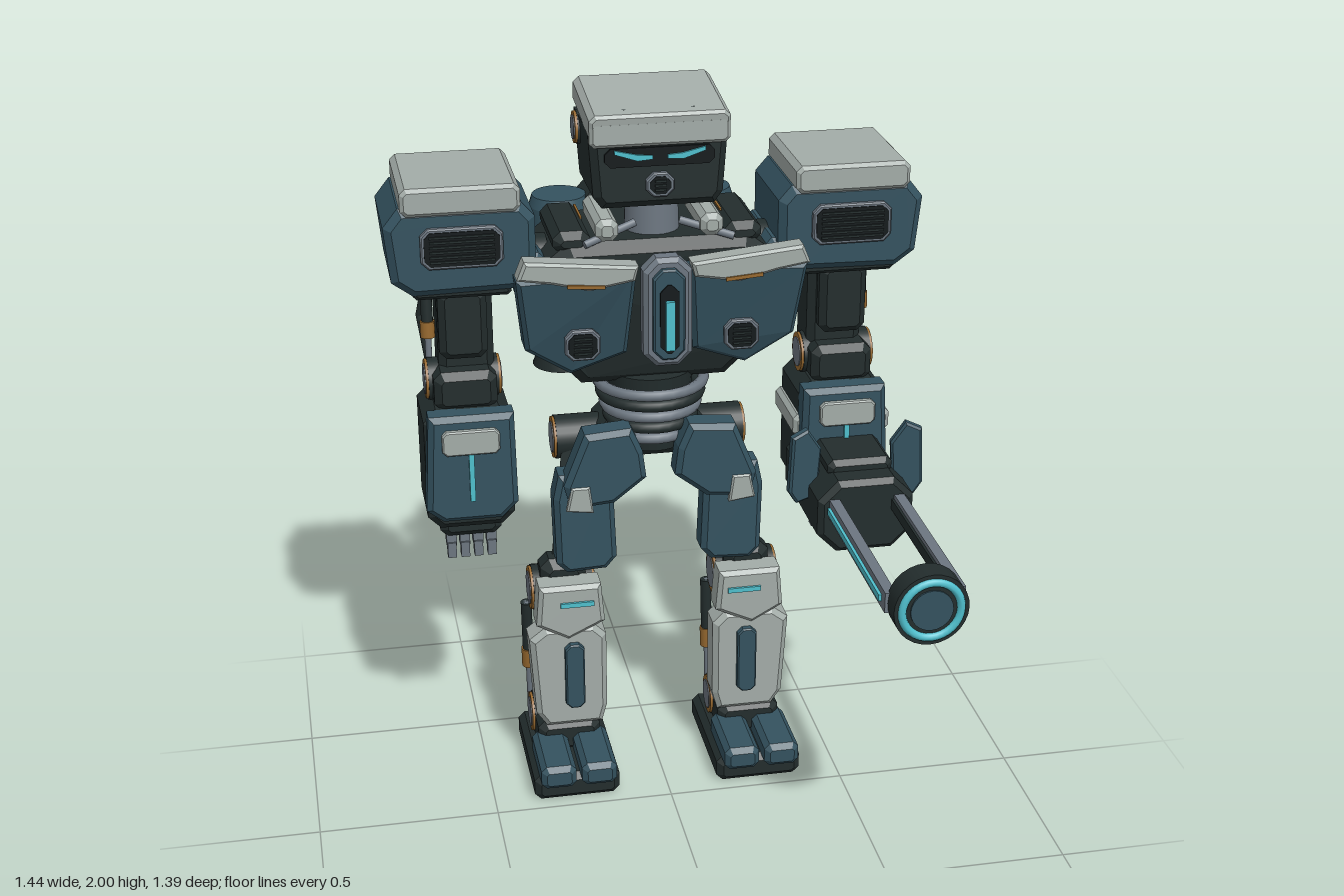
import * as THREE from 'three';

const mat = (name, color) => { const m = new THREE.MeshStandardMaterial({ color }); m.name = name; return m; };
const M = {
  blue: mat('steel blue', 0x34525f), pale: mat('pale armour', 0xa3aca8), dark: mat('dark frame', 0x232d2d),
  grey: mat('mid grey', 0x6c7680), black: mat('vent black', 0x12181a), cyan: mat('glow cyan', 0x4fbfcd),
  orange: mat('copper', 0x97692f),
};
const V = (x, y, z) => new THREE.Vector3(x, y, z);

function add(parent, name, geo, m, x = 0, y = 0, z = 0) {
  const mesh = new THREE.Mesh(geo, m);
  mesh.name = name;
  mesh.position.set(x, y, z);
  parent.add(mesh);
  return mesh;
}
// polygon in xy extruded from z0 to z1, edges bevelled by b
function prism(pts, z0, z1, b = 0.012) {
  const shape = new THREE.Shape(pts.map(p => new THREE.Vector2(p[0], p[1])));
  const g = new THREE.ExtrudeGeometry(shape, {
    depth: z1 - z0 - 2 * b, bevelEnabled: b > 0, bevelThickness: b, bevelSize: b, bevelOffset: -b, bevelSegments: 1,
  });
  return g.translate(0, 0, z0 + b);
}
// box with cut corners, centred on the origin
function cut(w, h, d, c = 0.02, b = Math.min(c, d * 0.3)) {
  const X = w / 2, Y = h / 2;
  return prism([[-X + c, -Y], [X - c, -Y], [X, -Y + c], [X, Y - c], [X - c, Y], [-X + c, Y], [-X, Y - c], [-X, -Y + c]], -d / 2, d / 2, b);
}
const box = (w, h, d) => new THREE.BoxGeometry(w, h, d);
const cyl = (r0, r1, h, n = 24) => new THREE.CylinderGeometry(r0, r1, h, n);
function span(parent, name, a, b, geoFor, m) {
  const d = b.clone().sub(a), o = add(parent, name, geoFor(d.length()), m);
  o.position.copy(a).addScaledVector(d, 0.5);
  o.quaternion.setFromUnitVectors(V(0, 1, 0), d.normalize());
  return o;
}
const rod = (p, name, a, b, r, m) => span(p, name, a, b, l => cyl(r, r, l, 12), m);
const beam = (p, name, a, b, w, d, m) => span(p, name, a, b, l => box(w, l, d), m);

// pivot with copper rim and grey cap on both ends, axis along x
function joint(p, name, x, y, z, r, w) {
  const g = new THREE.Group();
  g.name = name;
  [[r, w - 0.02, M.dark], [r * 0.95, w - 0.006, M.orange], [r * 0.72, w, M.grey]].forEach(([R, W, m]) =>
    add(g, name + 'Disc', cyl(R, R, W).rotateZ(Math.PI / 2), m));
  g.position.set(x, y, z);
  p.add(g);
}
function piston(p, a, b, t = 0.45) {
  const mid = a.clone().lerp(b, t);
  rod(p, 'pistonRod', a, b, 0.009, M.grey);
  rod(p, 'pistonSleeve', a, mid, 0.016, M.dark);
  rod(p, 'pistonCollar', mid, a.clone().lerp(b, t + 0.17), 0.02, M.orange);
}
function vent(p, x, y, z, w, h) {
  add(p, 'ventFrame', cut(w, h, 0.02, 0.02, 0.004), M.grey, x, y, z);
  add(p, 'ventOpening', cut(w - 0.018, h - 0.018, 0.008, 0.016, 0), M.black, x, y, z + 0.009);
  const n = Math.max(3, Math.round(h / 0.02));
  for (let i = 0; i < n; i++) add(p, 'ventSlat', box(w - 0.045, 0.006, 0.008), M.dark, x, y + ((i + 0.5) / n - 0.5) * (h - 0.03), z + 0.013);
}
// pulls the lower front of the chest backwards
function rake(g, yTop, k, zMin = -1) {
  const p = g.attributes.position;
  for (let i = 0; i < p.count; i++) if (p.getZ(i) > zMin) p.setZ(i, p.getZ(i) - Math.max(0, yTop - p.getY(i)) * k);
  g.computeVertexNormals();
  return g;
}

function head(root) {
  const g = new THREE.Group(); g.name = 'head'; root.add(g);
  add(g, 'skull', prism([[-0.15, 1.71], [0.15, 1.71], [0.172, 1.74], [0.185, 1.92], [-0.185, 1.92], [-0.172, 1.74]], -0.43, -0.16, 0.02), M.dark);
  add(g, 'helmet', cut(0.37, 0.075, 0.285, 0.015, 0.008), M.pale, 0, 1.947, -0.285).rotation.x = 0.13;
  add(g, 'brow', cut(0.37, 0.07, 0.03, 0.012), M.pale, 0, 1.915, -0.157);
  add(g, 'visor', cut(0.29, 0.05, 0.01, 0.015, 0), M.black, 0, 1.85, -0.157);
  for (const s of [-1, 1]) {
    add(g, 'eye', prism([[s * 0.02, 1.845], [s * 0.06, 1.842], [s * 0.12, 1.862], [s * 0.12, 1.872], [s * 0.06, 1.858], [s * 0.02, 1.855]], -0.152, -0.146, 0), M.cyan);
    add(g, 'browStud', cyl(0.006, 0.006, 0.006, 8), M.dark, s * 0.09, 1.968, -0.18);
  }
  joint(g, 'earPivot', 0, 1.88, -0.36, 0.045, 0.395);
  vent(g, 0, 1.775, -0.155, 0.075, 0.065);
  add(root, 'neck', cyl(0.07, 0.075, 0.14), M.grey, 0, 1.66, -0.28);
}

function torso(root) {
  const g = new THREE.Group(); g.name = 'torso'; root.add(g);
  add(g, 'torsoFrame', rake(prism([[-0.2, 1.19], [0.2, 1.19], [0.29, 1.3], [0.33, 1.55], [0.24, 1.62], [-0.24, 1.62], [-0.33, 1.55], [-0.29, 1.3]], -0.48, -0.15, 0.03), 1.42, 0.35, -0.3), M.dark);
  for (const s of [-1, 1]) {
    const q = a => a.map(([x, y]) => [s * x, y]);
    add(g, 'chestPlate', rake(prism(q([[0.07, 1.56], [0.39, 1.55], [0.365, 1.34], [0.24, 1.25], [0.09, 1.31]]), -0.2, -0.1), 1.44, 0.4), M.blue);
    add(g, 'collarPlate', prism(q([[0.07, 1.58], [0.37, 1.61], [0.39, 1.56], [0.3, 1.545], [0.2, 1.52], [0.08, 1.54]]), -0.14, -0.075, 0.008), M.pale);
    add(g, 'collarSlot', box(0.1, 0.01, 0.006), M.orange, s * 0.21, 1.535, -0.073).rotation.z = s * 0.08;
    vent(g, s * 0.215, 1.355, -0.125, 0.095, 0.085);
    add(g, 'sidePlate', cut(0.07, 0.18, 0.28, 0.02), M.blue, s * 0.33, 1.5, -0.33);
    add(g, 'trapezius', cut(0.1, 0.06, 0.28, 0.02), M.dark, s * 0.23, 1.62, -0.31);
    add(g, 'trapeziusTrim', box(0.006, 0.006, 0.11), M.orange, s * 0.19, 1.652, -0.34);
    add(g, 'collarBlock', cut(0.06, 0.06, 0.24, 0.015), M.pale, s * 0.14, 1.655, -0.27);
    rod(g, 'collarRod', V(s * 0.06, 1.66, -0.2), V(s * 0.2, 1.62, -0.16), 0.011, M.grey);
    add(g, 'shoulderAxle', cyl(0.07, 0.07, 0.2).rotateZ(Math.PI / 2), M.dark, s * 0.38, 1.53, -0.33);
  }
  add(g, 'corePlate', cut(0.13, 0.3, 0.06, 0.035, 0.012), M.grey, 0, 1.46, -0.07);
  add(g, 'coreInset', cut(0.085, 0.25, 0.03, 0.025, 0.005), M.blue, 0, 1.46, -0.038);
  add(g, 'coreSlot', cut(0.05, 0.19, 0.008, 0.02, 0), M.black, 0, 1.45, -0.022);
  add(g, 'coreLight', box(0.024, 0.135, 0.016), M.cyan, 0, 1.435, -0.014);
  // flexible waist
  add(g, 'waistCore', cyl(0.12, 0.1, 0.22), M.dark, 0, 1.1, -0.31);
  for (let i = 0; i < 5; i++) {
    add(g, 'waistRing', new THREE.TorusGeometry(0.148 - i * 0.01, 0.016, 8, 28).rotateX(Math.PI / 2), i % 2 ? M.dark : M.grey, 0, 1.175 - i * 0.036, -0.31);
    add(g, 'spineBead', new THREE.SphereGeometry(0.015, 10, 8), M.grey, 0, 1.185 - i * 0.036, -0.455);
  }
  add(g, 'pelvis', cut(0.3, 0.12, 0.2, 0.03), M.dark, 0, 1.01, -0.35);
  // backpack and thrusters
  add(g, 'backpack', cut(0.33, 0.39, 0.17, 0.05, 0.025), M.dark, 0, 1.445, -0.615);
  add(g, 'backpackMount', box(0.2, 0.28, 0.1), M.dark, 0, 1.45, -0.5);
  const nozzle = [[0.055, 0.085], [0.06, 0.06], [0.085, 0], [0.07, 0], [0.045, 0.05], [0, 0.05]].map(p => new THREE.Vector2(...p));
  const flare = new THREE.LatheGeometry(nozzle.reverse(), 24);
  for (const s of [-1, 1]) {
    const x = s * 0.205;
    add(g, 'thruster', cyl(0.075, 0.085, 0.03), M.blue, x, 1.61, -0.59);
    add(g, 'thrusterBody', cyl(0.085, 0.085, 0.39), M.blue, x, 1.4, -0.59);
    add(g, 'thrusterBand', cyl(0.089, 0.089, 0.02), M.grey, x, 1.53, -0.59);
    add(g, 'nozzle', flare, M.dark, x, 1.12, -0.59);
    add(g, 'nozzleGlow', new THREE.TorusGeometry(0.04, 0.008, 8, 24).rotateX(Math.PI / 2), M.cyan, x, 1.16, -0.59);
    rod(g, 'thrusterStrut', V(s * 0.23, 1.58, -0.53), V(s * 0.1, 1.58, -0.43), 0.015, M.dark);
    rod(g, 'outerStrut', V(s * 0.33, 1.53, -0.645), V(s * 0.3, 1.28, -0.535), 0.016, M.dark);
    rod(g, 'strutPin', V(s * 0.24, 1.53, -0.645), V(s * 0.34, 1.53, -0.645), 0.016, M.grey);
    rod(g, 'strutPin', V(s * 0.22, 1.28, -0.535), V(s * 0.31, 1.28, -0.535), 0.016, M.dark);
  }
}

function arm(root, s) {
  const g = new THREE.Group(); g.name = s > 0 ? 'leftArm' : 'rightArm'; root.add(g);
  const x = s * 0.52;
  const pod = [[0.36, 1.74], [0.68, 1.74], [0.72, 1.69], [0.705, 1.54], [0.65, 1.5], [0.38, 1.505], [0.325, 1.56], [0.325, 1.7]];
  add(g, 'shoulderPod', prism(pod.map(([a, b]) => [s * a, b]), -0.48, -0.165, 0.02), M.blue);
  add(g, 'podUnderside', cut(0.26, 0.03, 0.28, 0.01), M.dark, x, 1.5, -0.325);
  add(g, 'shoulderCap', cut(0.31, 0.075, 0.335, 0.015, 0.01), M.pale, x, 1.762, -0.315);
  vent(g, x, 1.635, -0.16, 0.215, 0.11);
  add(g, 'upperArm', cut(0.15, 0.28, 0.14, 0.02), M.dark, x - s * 0.01, 1.37, -0.33);
  add(g, 'upperArmShell', cut(0.13, 0.2, 0.06, 0.02), M.dark, x, 1.4, -0.24);
  joint(g, 'elbow', x, 1.215, -0.31, 0.058, 0.21);
  add(g, 'elbowBlock', cut(0.17, 0.11, 0.16, 0.02), M.dark, x, 1.21, -0.28);
  piston(g, V(s * 0.605, 1.49, -0.35), V(s * 0.605, 1.22, -0.34));
  rod(g, 'elbowLink', V(s * 0.62, 1.36, -0.42), V(s * 0.6, 1.48, -0.38), 0.01, M.dark);
  rod(g, 'elbowLink', V(s * 0.62, 1.36, -0.42), V(s * 0.59, 1.14, -0.4), 0.01, M.dark);
  add(g, 'forearm', cut(0.24, 0.35, 0.24, 0.035, 0.02), M.dark, x, 0.99, -0.3);
  const plate = [[-0.11, 1.165], [0.12, 1.165], [0.125, 0.9], [0.08, 0.855], [-0.08, 0.855], [-0.125, 0.89]];
  add(g, 'forearmPlate', prism(plate.map(([a, b]) => [x - s * a, b]), -0.22, -0.14, 0.015), M.blue);
  add(g, 'forearmPatch', cut(0.155, 0.07, 0.022, 0.012, 0.004), M.pale, x, 1.095, -0.135);
  add(g, 'forearmLight', box(0.014, 0.14, 0.012), M.cyan, x, 0.99, -0.136);
  add(g, 'wrist', cut(0.17, 0.1, 0.15, 0.02), M.dark, x, 0.82, -0.29);
  for (let i = 0; i < 4; i++) {
    const fx = x + (i - 1.5) * 0.037;
    add(g, 'fingerBase', box(0.028, 0.06, 0.035), M.grey, fx, 0.77, -0.25);
    add(g, 'fingerTip', box(0.024, 0.045, 0.03), M.grey, fx, 0.728, -0.242);
  }
  if (s > 0) cannon(g, x);
}

function cannon(p, x) {
  const g = new THREE.Group(); g.name = 'cannon'; p.add(g);
  const y = 0.915;
  add(g, 'forearmBand', cut(0.275, 0.065, 0.23, 0.012), M.pale, x, 1.04, -0.3);
  add(g, 'cannonBody', cut(0.265, 0.21, 0.39, 0.055, 0.015), M.dark, x, 0.885, -0.105);
  add(g, 'cannonRear', cut(0.2, 0.12, 0.16, 0.025), M.dark, x, 0.86, -0.365);
  add(g, 'cannonTop', cut(0.18, 0.05, 0.2, 0.015), M.dark, x, 0.995, -0.08);
  add(g, 'palm', cut(0.07, 0.1, 0.1, 0.02), M.dark, x, 0.74, -0.2);
  for (const s of [-1, 1]) {
    add(g, 'rail', box(0.028, 0.055, 0.56), M.grey, x + s * 0.09, y, 0.35);
    add(g, 'railLight', box(0.01, 0.018, 0.5), M.cyan, x + s * 0.107, y, 0.35);
    add(g, 'railEdge', box(0.01, 0.03, 0.54), M.dark, x + s * 0.074, y, 0.35);
    const fin = [[0.1, 1.04], [0.14, 1.1], [0.185, 1.08], [0.192, 0.92], [0.17, 0.885], [0.11, 0.9]];
    add(g, 'cannonFin', prism(fin.map(([a, b]) => [s * a, b]), -0.015, 0.015, 0.006), M.blue, x, 0, -0.06).rotation.y = -s * 0.15;
  }
  add(g, 'muzzle', cyl(0.097, 0.097, 0.065, 28).rotateX(Math.PI / 2), M.dark, x, y, 0.652);
  add(g, 'muzzleGlow', new THREE.TorusGeometry(0.076, 0.011, 8, 32), M.cyan, x, y, 0.684);
  add(g, 'muzzleFace', cyl(0.055, 0.055, 0.006).rotateX(Math.PI / 2), M.blue, x, y, 0.686);
}

function leg(root, s) {
  const g = new THREE.Group(); g.name = s > 0 ? 'leftLeg' : 'rightLeg'; root.add(g);
  const x = s * 0.265, q = a => a.map(([u, v]) => [s * u, v]);
  joint(g, 'hip', s * 0.19, 0.99, -0.36, 0.062, 0.17);
  beam(g, 'thighFrame', V(s * 0.195, 1.0, -0.35), V(s * 0.25, 0.56, -0.305), 0.1, 0.09, M.dark);
  rod(g, 'thighStrut', V(s * 0.19, 0.98, -0.4), V(s * 0.24, 0.62, -0.36), 0.022, M.dark);
  add(g, 'thighPlate', prism(q([[0.13, 0.95], [0.28, 0.95], [0.295, 0.88], [0.29, 0.68], [0.26, 0.65], [0.15, 0.655], [0.12, 0.69]]), -0.26, -0.17, 0.015), M.blue);
  add(g, 'hipSkirt', prism(q([[0.08, 1.09], [0.21, 1.08], [0.27, 0.93], [0.25, 0.86], [0.13, 0.87], [0.04, 0.94], [0.05, 1.02]]), -0.23, -0.14, 0.015), M.blue);
  add(g, 'skirtPatch', prism(q([[0.2, 0.93], [0.25, 0.93], [0.265, 0.86], [0.19, 0.85]]), -0.16, -0.135, 0.005), M.pale);
  joint(g, 'knee', x, 0.555, -0.295, 0.066, 0.19);
  add(g, 'kneeBlock', cut(0.13, 0.13, 0.1, 0.025), M.dark, x, 0.6, -0.27);
  add(g, 'kneePlate', prism(q([[0.17, 0.62], [0.345, 0.62], [0.355, 0.5], [0.265, 0.45], [0.16, 0.5]]), -0.24, -0.15), M.pale);
  add(g, 'kneeLight', box(0.095, 0.014, 0.01), M.cyan, s * 0.24, 0.565, -0.148);
  beam(g, 'shinFrame', V(x, 0.555, -0.305), V(x, 0.12, -0.315), 0.1, 0.1, M.dark);
  add(g, 'shinPlate', prism(q([[0.19, 0.485], [0.33, 0.485], [0.375, 0.45], [0.36, 0.21], [0.33, 0.165], [0.17, 0.165], [0.155, 0.22], [0.155, 0.45]]), -0.26, -0.16, 0.015), M.pale);
  add(g, 'shinInset', cut(0.055, 0.205, 0.03, 0.015, 0.004), M.blue, s * 0.25, 0.335, -0.155);
  piston(g, V(s * 0.365, 0.5, -0.31), V(s * 0.355, 0.14, -0.36));
  piston(g, V(s * 0.17, 0.5, -0.35), V(s * 0.18, 0.14, -0.36));
  // calf jet
  add(g, 'calfJet', cyl(0.042, 0.025, 0.07).rotateX(-Math.PI / 2), M.dark, x, 0.35, -0.415);
  add(g, 'calfGlow', new THREE.TorusGeometry(0.026, 0.006, 8, 20), M.cyan, x, 0.35, -0.45);
  joint(g, 'ankle', x, 0.135, -0.31, 0.06, 0.2);
  add(g, 'sole', cut(0.245, 0.08, 0.39, 0.018), M.dark, x, 0.04, -0.225);
  add(g, 'instep', cut(0.18, 0.1, 0.16, 0.02), M.dark, x, 0.12, -0.25);
  for (const t of [-1, 1]) add(g, 'toe', cut(0.1, 0.07, 0.225, 0.015), M.blue, x + t * 0.058, 0.097, -0.1);
}

export function createModel() {
  const root = new THREE.Group();
  root.name = 'robot';
  head(root);
  torso(root);
  for (const s of [-1, 1]) { arm(root, s); leg(root, s); }
  return root;
}
